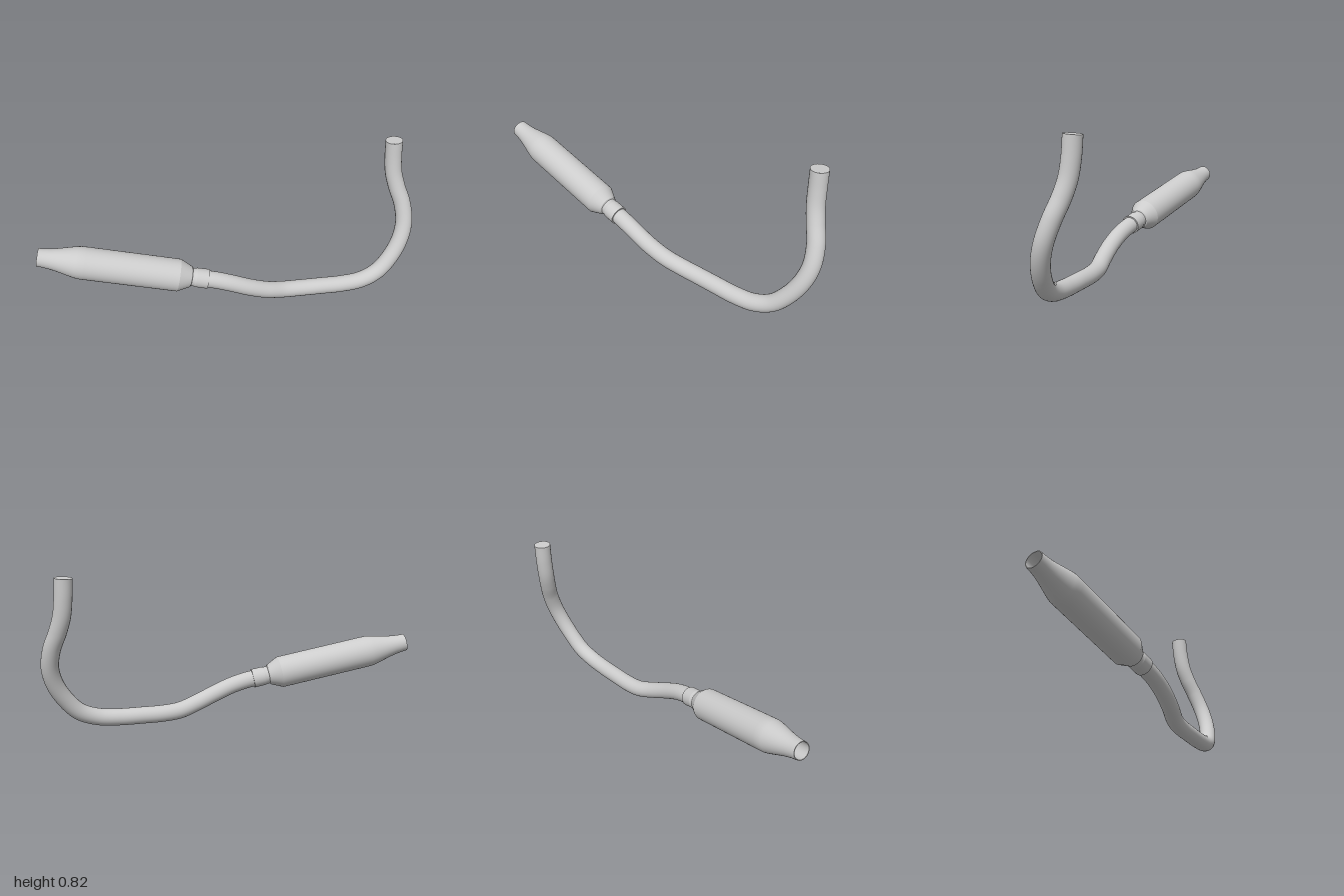
import * as THREE from 'three';
import { mergeGeometries } from 'three/addons/utils/BufferGeometryUtils.js';

const v = (x, y, z) => new THREE.Vector3(x, y, z);

// Lathe made of separate smooth runs, so the edges between runs stay sharp
function latheRuns(runs) {
  return mergeGeometries(runs.map((run) =>
    new THREE.LatheGeometry(run.map(([r, s]) => new THREE.Vector2(r, s)), 48)));
}

export function createModel() {
  const group = new THREE.Group();
  const steel = new THREE.MeshStandardMaterial({ color: 0xcccccc });
  steel.name = 'steel grey';

  const add = (name, geometry, parent) => {
    const mesh = new THREE.Mesh(geometry, steel);
    mesh.name = name;
    parent.add(mesh);
    return mesh;
  };

  // Silencer axis, from the open tail to the collar around the pipe
  const tail = v(-0.99, 0.385, 0.186);
  const inlet = v(-0.118, 0.206, 0.16);
  const axis = inlet.clone().sub(tail).normalize();
  const silencer = new THREE.Group();
  silencer.name = 'silencer';
  silencer.position.copy(tail);
  silencer.quaternion.setFromUnitVectors(v(0, 1, 0), axis);
  group.add(silencer);

  // Hollow tail opening
  add('tailOpening', latheRuns([
    [[0, 0.3], [0.043, 0.3]],
    [[0.043, 0.3], [0.043, 0]],
    [[0.043, 0], [0.047, 0]],
  ]), silencer);

  // Tapered tail, long body and front cone
  add('silencerBody', latheRuns([
    [[0.047, 0], [0.049, 0.03], [0.053, 0.065], [0.061, 0.105], [0.073, 0.155],
      [0.082, 0.193], [0.0855, 0.215], [0.086, 0.24]],
    [[0.086, 0.24], [0.086, 0.733]],
    [[0.086, 0.733], [0.055, 0.798]],
    [[0.055, 0.798], [0.048, 0.802]],
  ]), silencer);

  // Narrow neck and clamp collar
  add('collar', latheRuns([
    [[0.048, 0.802], [0.048, 0.815], [0.051, 0.825]],
    [[0.051, 0.825], [0.052, 0.89]],
    [[0.052, 0.89], [0.04, 0.89]],
  ]), silencer);

  // Bent header pipe
  const path = new THREE.CatmullRomCurve3([
    v(-0.16, 0.214, 0.161), v(-0.08, 0.197, 0.159), v(0, 0.172, 0.155),
    v(0.1, 0.13, 0.142), v(0.2, 0.088, 0.116), v(0.29, 0.06, 0.083),
    v(0.38, 0.051, 0.062), v(0.5, 0.049, 0.044), v(0.62, 0.049, 0.027),
    v(0.73, 0.061, 0.006), v(0.82, 0.1, -0.024), v(0.89, 0.18, -0.058),
    v(0.935, 0.27, -0.093), v(0.951, 0.36, -0.127), v(0.935, 0.46, -0.161),
    v(0.9, 0.55, -0.187), v(0.876, 0.63, -0.204), v(0.865, 0.72, -0.215),
    v(0.86, 0.82, -0.221),
  ], false, 'centripetal');
  add('headerPipe', new THREE.TubeGeometry(path, 160, 0.045, 32), group);

  // Flat cap closing the upper end of the pipe
  const cap = add('pipeEndCap', new THREE.CircleGeometry(0.045, 32), group);
  cap.position.copy(path.getPoint(1));
  cap.quaternion.setFromUnitVectors(v(0, 0, 1), path.getTangent(1));

  return group;
}
